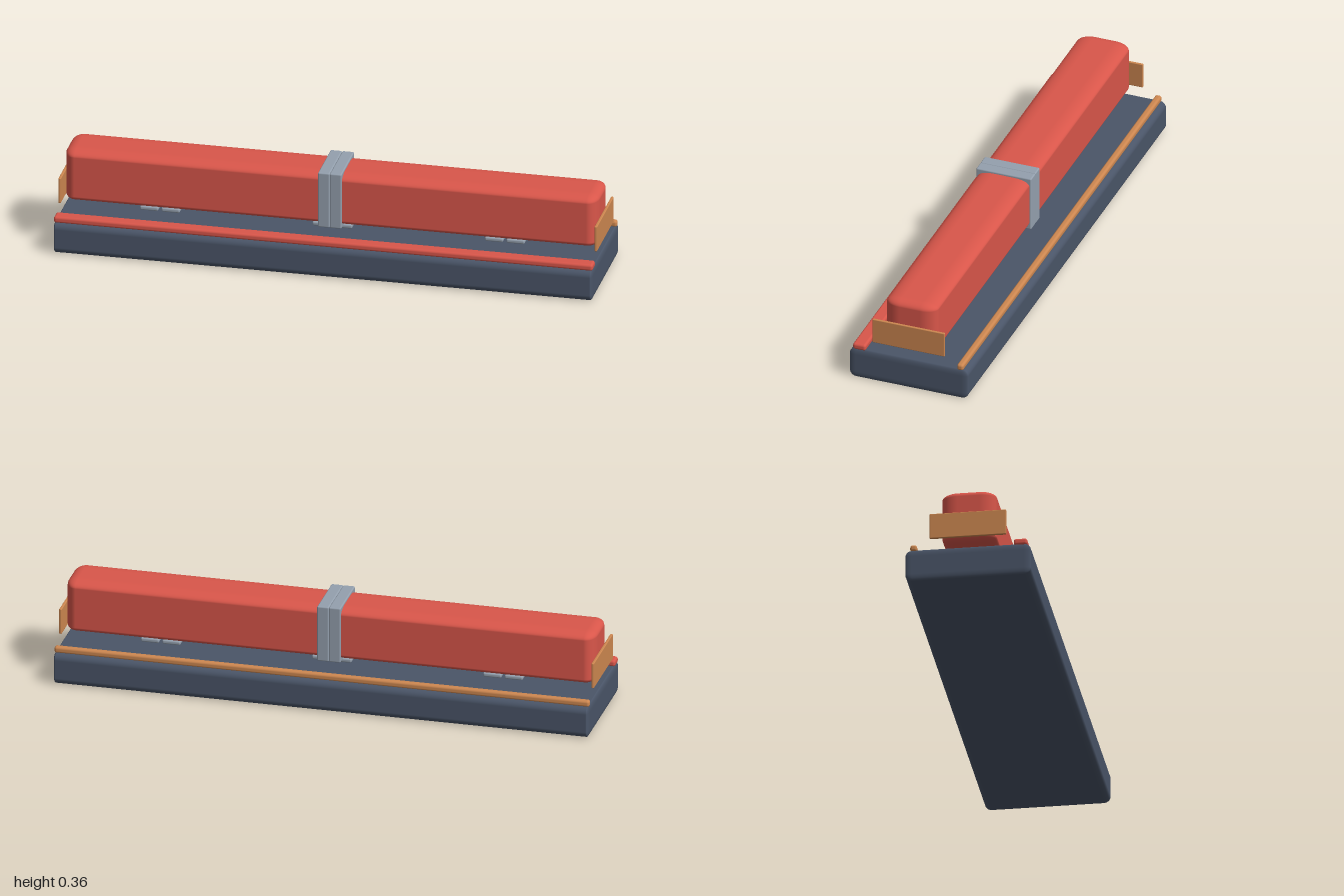
import * as THREE from 'three';
import { RoundedBoxGeometry } from 'three/addons/geometries/RoundedBoxGeometry.js';

const material = (name, color) => {
  const m = new THREE.MeshStandardMaterial({ color });
  m.name = name;
  return m;
};

export function createModel() {
  const slate = material('slate', 0x4a5568);
  const red = material('red', 0xd9564a);
  const copper = material('copper', 0xcd8750);
  const steel = material('steel', 0x94a0ae);
  const model = new THREE.Group();
  model.name = 'cushionedBar';

  // Softened block given by its extents; bevel is the rounding along [x, y, z]
  const block = (name, mat, [x0, x1], [y0, y1], [z0, z1], bevel) => {
    const [bx, by, bz] = bevel;
    const geo = new RoundedBoxGeometry((x1 - x0) / bx, (y1 - y0) / by, (z1 - z0) / bz, 5, 1);
    geo.scale(bx, by, bz);
    const mesh = new THREE.Mesh(geo, mat);
    mesh.name = name;
    mesh.position.set((x0 + x1) / 2, (y0 + y1) / 2, (z0 + z1) / 2);
    model.add(mesh);
  };
  const even = (r) => [r, r, r];

  // Base slab with a wide rail in front and a narrow one behind
  block('base', slate, [-1, 1], [0, 0.12], [-0.23, 0.23], [0.008, 0.025, 0.025]);
  block('frontRail', red, [-1, 1], [0.116, 0.141], [0.167, 0.217], even(0.009));
  block('backRail', copper, [-1, 1], [0.116, 0.141], [-0.212, -0.187], even(0.009));

  // Long padded bar
  block('bar', red, [-0.99, 0.99], [0.15, 0.352], [-0.1, 0.1], [0.04, 0.024, 0.06]);

  // Plates on both ends
  for (const s of [-1, 1]) {
    const xs = s > 0 ? [0.99, 1] : [-1, -0.99];
    block('endPlate', copper, xs, [0.162, 0.26], [-0.14, 0.14], even(0.003));
  }

  // Double strap round the middle
  for (const x of [-0.022, 0.022]) {
    block('strap', steel, [x - 0.022, x + 0.022], [0.145, 0.36], [-0.107, 0.107], even(0.005));
  }

  // Pairs of small pads under the bar
  for (const c of [-0.64, 0, 0.64]) {
    for (const x of [c - 0.04, c + 0.04]) {
      block('pad', steel, [x - 0.034, x + 0.034], [0.13, 0.146], [-0.065, 0.065], even(0.006));
    }
  }
  return model;
}
